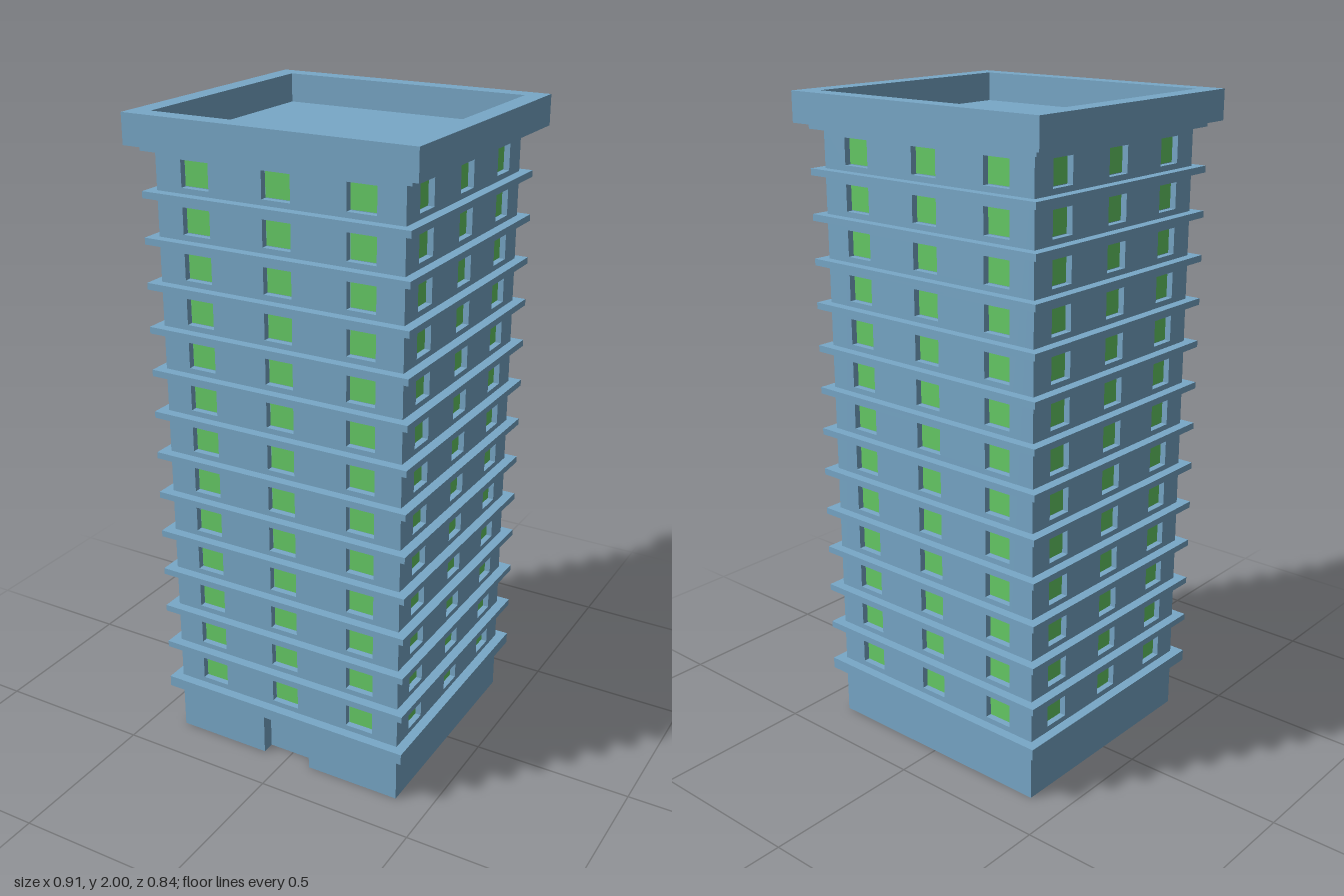
import * as THREE from 'three';

const W = 0.78, D = 0.72;            // tower footprint
const RECESS = 0.02;                 // window depth
const FLOORS = 13, STEP = 0.1325;    // storeys
const WALL_Y0 = 0.145, WALL_Y1 = 1.9;
const FIRST_WINDOW_Y = 0.246, WIN_H = 0.078;

const blue = new THREE.MeshStandardMaterial({ color: 0x78a8c8 });
const green = new THREE.MeshStandardMaterial({ color: 0x66cc66 });

function rectPath(path, cx, cy, w, h) {
  path.moveTo(cx - w / 2, cy - h / 2);
  path.lineTo(cx + w / 2, cy - h / 2);
  path.lineTo(cx + w / 2, cy + h / 2);
  path.lineTo(cx - w / 2, cy + h / 2);
  path.closePath();
  return path;
}

function mesh(name, geometry, material, parent) {
  const m = new THREE.Mesh(geometry, material);
  m.name = name;
  parent.add(m);
  return m;
}

function slab(name, w, d, y0, y1, parent) {
  const m = mesh(name, new THREE.BoxGeometry(w, y1 - y0, d), blue, parent);
  m.position.y = (y0 + y1) / 2;
  return m;
}

// Extrudes a plan shape upwards from y0
function extrudeUp(name, shape, y0, height, parent) {
  const geo = new THREE.ExtrudeGeometry(shape, { depth: height, bevelEnabled: false });
  geo.rotateX(-Math.PI / 2);
  mesh(name, geo, blue, parent).position.y = y0;
}

// Wall with window openings and glass, outer face at local z = 0
function makeWall(name, width, spacing, winW) {
  const wall = new THREE.Group();
  wall.name = name;
  const shape = rectPath(new THREE.Shape(), 0, (WALL_Y0 + WALL_Y1) / 2, width, WALL_Y1 - WALL_Y0);
  const pane = new THREE.PlaneGeometry(winW - 0.005, WIN_H - 0.005);
  for (let i = 0; i < FLOORS; i++) {
    for (const col of [-1, 0, 1]) {
      const x = col * spacing, y = FIRST_WINDOW_Y + i * STEP;
      shape.holes.push(rectPath(new THREE.Path(), x, y, winW, WIN_H));
      mesh('windowPane', pane, green, wall).position.set(x, y, -RECESS + 0.003);
    }
  }
  const geo = new THREE.ExtrudeGeometry(shape, { depth: RECESS, bevelEnabled: false });
  geo.translate(0, 0, -RECESS);
  mesh('wallPanel', geo, blue, wall);
  return wall;
}

export function createModel() {
  const tower = new THREE.Group();
  tower.name = 'towerBlock';

  // Ground floor with the recessed doorway (plan y points to the back)
  const base = new THREE.Shape([
    [-W / 2, -D / 2], [-0.082, -D / 2], [-0.082, -D / 2 + 0.04], [0.082, -D / 2 + 0.04],
    [0.082, -D / 2], [W / 2, -D / 2], [W / 2, D / 2], [-W / 2, D / 2],
  ].map(([x, y]) => new THREE.Vector2(x, y)));
  extrudeUp('groundFloor', base, 0, WALL_Y0, tower);

  // Inner core and four windowed walls
  slab('core', W - 2 * RECESS, D - 2 * RECESS, WALL_Y0, WALL_Y1, tower);
  for (let side = 0; side < 4; side++) {
    const onX = side % 2 === 1;
    const wall = onX
      ? makeWall('sideWall', D - 2 * RECESS, 0.243, 0.083)
      : makeWall(side === 0 ? 'frontWall' : 'backWall', W, 0.261, 0.09);
    const angle = side * Math.PI / 2, dist = (onX ? W : D) / 2;
    wall.rotation.y = angle;
    wall.position.set(Math.sin(angle) * dist, 0, Math.cos(angle) * dist);
    tower.add(wall);
  }

  // Ledges between the storeys; the last one is the roof floor
  slab('baseLedge', 0.84, 0.78, 0.155, 0.19, tower);
  for (let i = 0; i < FLOORS; i++) {
    const y = 0.313 + i * STEP;
    slab(i === FLOORS - 1 ? 'roofSlab' : 'ledge', 0.84, 0.78, y - 0.01, y + 0.01, tower);
  }

  // Roof parapet ring
  const ring = rectPath(new THREE.Shape(), 0, 0, 0.906, 0.84);
  ring.holes.push(rectPath(new THREE.Path(), 0, 0, 0.788, 0.728));
  extrudeUp('parapet', ring, 1.91, 0.09, tower);

  return tower;
}
